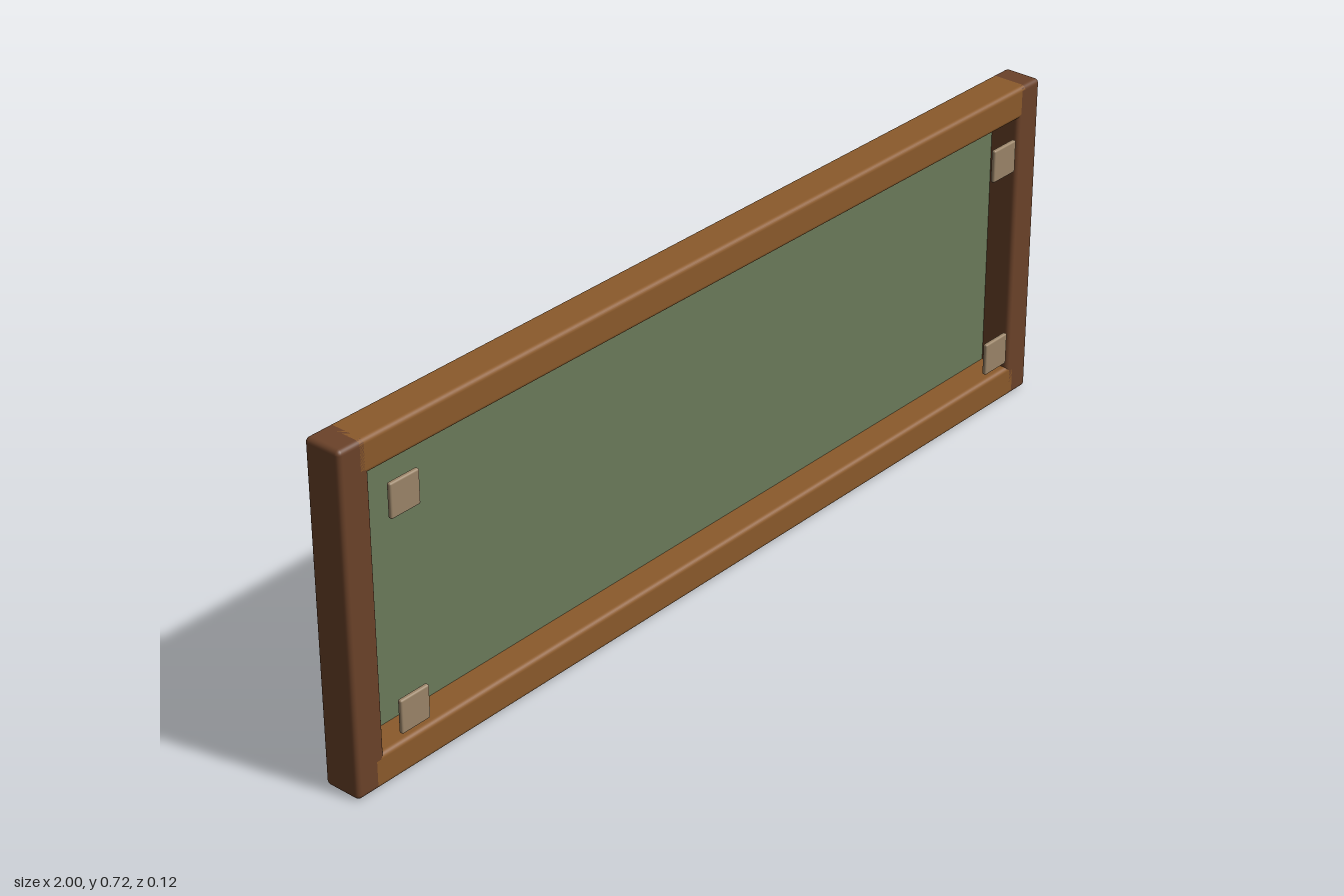
import * as THREE from 'three';
import { RoundedBoxGeometry } from 'three/addons/geometries/RoundedBoxGeometry.js';

const W = 2, H = 0.72, BAR = 0.07, DEPTH = 0.084;

function material(name, color) {
  const m = new THREE.MeshStandardMaterial({ color });
  m.name = name;
  return m;
}

export function createModel() {
  const group = new THREE.Group();
  group.name = 'framedBoard';
  const railWood = material('warm brown wood', 0x8b5a2b);
  const stileWood = material('dark brown wood', 0x6b4229);
  const green = material('muted green', 0x6b7a5a);
  const tan = material('tan', 0x9a8468);

  // Softly rounded block centred on x, y, z
  const block = (name, mat, [w, h, d], [x, y, z], radius) => {
    const mesh = new THREE.Mesh(new RoundedBoxGeometry(w, h, d, 3, radius), mat);
    mesh.name = name;
    mesh.position.set(x, y, z);
    group.add(mesh);
  };

  // Horizontal rails, with their ends tucked into the stiles
  for (const [name, y] of [['bottomRail', BAR / 2], ['topRail', H - BAR / 2]]) {
    block(name, railWood, [W - 0.08, BAR, DEPTH], [0, y, 0], 0.01);
  }

  // Full-height stiles
  for (const [name, s] of [['leftStile', 1], ['rightStile', -1]]) {
    block(name, stileWood, [BAR, H, DEPTH], [s * (W - BAR) / 2, H / 2, 0], 0.01);
  }

  // Panel set into the back, standing slightly proud of the frame
  block('backPanel', green, [1.92, 0.645, 0.036], [0, 0.362, -0.041], 0.01);

  // Small square pads in front of the corners
  for (const x of [-0.865, 0.865]) {
    for (const y of [0.137, 0.585]) {
      block('cornerPad', tan, [0.072, 0.072, 0.01], [x, y, 0.055], 0.004);
    }
  }
  return group;
}
